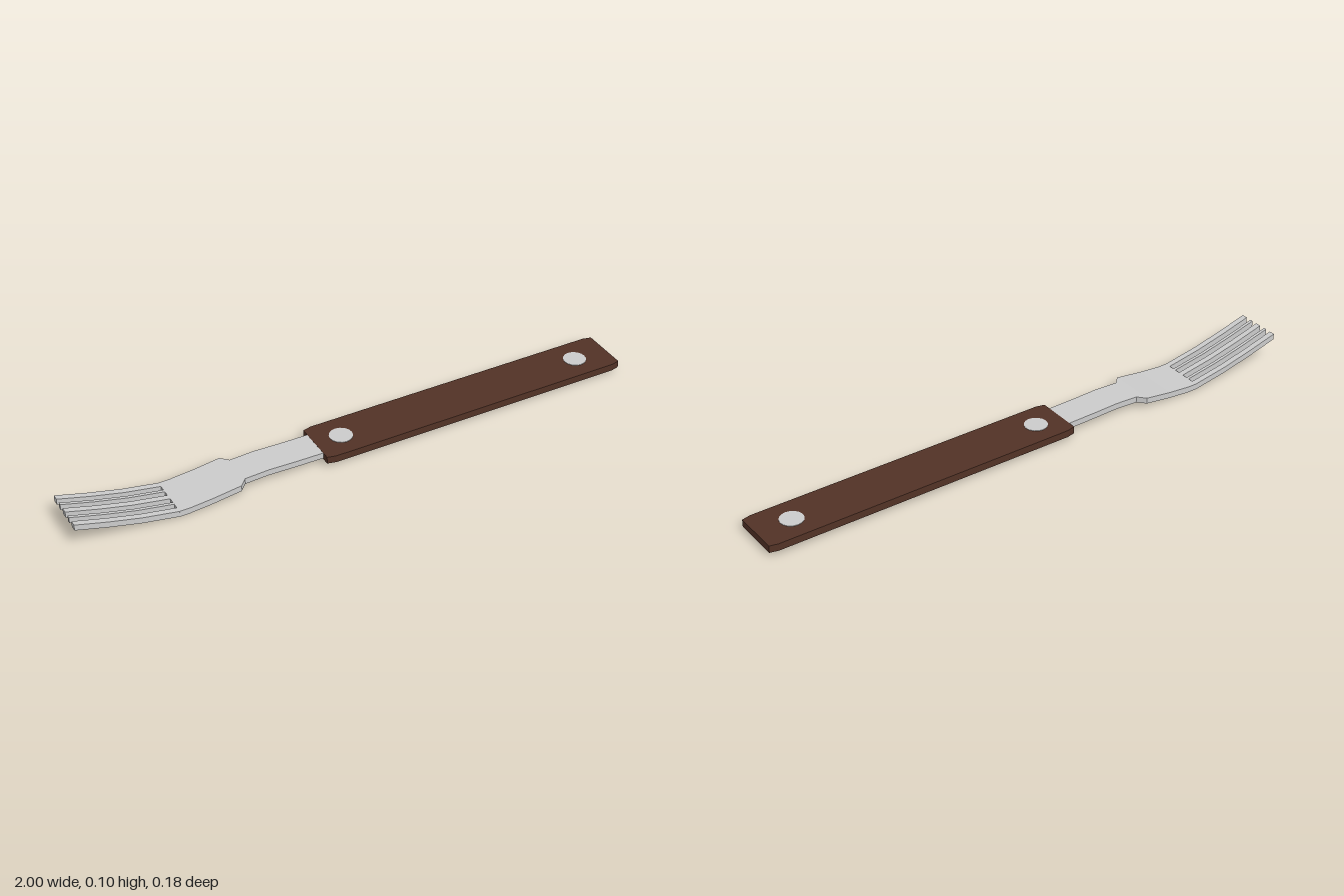
import * as THREE from 'three';

const metal = new THREE.MeshStandardMaterial({ color: 0xcccccc, flatShading: true });
const wood = new THREE.MeshStandardMaterial({ color: 0x523226, flatShading: true });

// Side curve of the metal: [x, underside y]
const curve = [[-1, 0.082], [-0.89, 0.051], [-0.78, 0.024], [-0.655, 0.001], [-0.62, 0.001],
  [-0.54, 0.008], [-0.44, 0.021], [-0.415, 0.022], [-0.33, 0.026], [-0.24, 0.023], [-0.1, 0.021]];
const thickness = 0.021;

// Bar following the curve between two stations; halfWidth depends on x
function bentBar(name, first, last, z, halfWidth) {
  const n = last - first;
  const geometry = new THREE.BoxGeometry(1, 1, 1, n, 1, 1);
  const p = geometry.attributes.position;
  for (let i = 0; i < p.count; i++) {
    const [x, y] = curve[first + Math.round((p.getX(i) + 0.5) * n)];
    p.setXYZ(i, x, y + (p.getY(i) > 0 ? thickness : 0), z + Math.sign(p.getZ(i)) * halfWidth(x));
  }
  geometry.computeVertexNormals();
  const mesh = new THREE.Mesh(geometry, metal);
  mesh.name = name;
  return mesh;
}

export function createModel() {
  const fork = new THREE.Group();
  fork.name = 'fork';

  // Five tines, alternately wide and narrow
  const tines = new THREE.Group();
  tines.name = 'tines';
  for (let i = -2; i <= 2; i++) {
    const half = i % 2 ? 0.0055 : 0.0105;
    tines.add(bentBar('tine', 0, 3, i * 0.0357, () => half));
  }
  fork.add(tines);

  // Palm and neck, stepping in at the shoulder
  fork.add(bentBar('palmAndNeck', 3, curve.length - 1, 0, x => (x < -0.43 ? 0.082 : 0.056)));

  // Flat wooden handle with slightly clipped corners
  const [x0, x1, w, cx, cz] = [-0.135, 1, 0.09, 0.03, 0.007];
  const outline = new THREE.Shape([
    [x0, w - cz], [x0, cz - w], [x0 + cx, -w], [x1 - cx, -w],
    [x1, cz - w], [x1, w - cz], [x1 - cx, w], [x0 + cx, w],
  ].map(([x, z]) => new THREE.Vector2(x, z)));
  const slab = new THREE.ExtrudeGeometry(outline, { depth: 0.025, bevelEnabled: false });
  slab.rotateX(-Math.PI / 2);
  const handle = new THREE.Mesh(slab, wood);
  handle.name = 'handle';
  handle.position.y = 0.018;
  fork.add(handle);

  // Rivets through the handle
  for (const x of [-0.04, 0.875]) {
    const rivet = new THREE.Mesh(new THREE.CylinderGeometry(0.04, 0.04, 0.028, 16), metal);
    rivet.name = 'rivet';
    rivet.position.set(x, 0.0305, 0);
    fork.add(rivet);
  }
  return fork;
}
